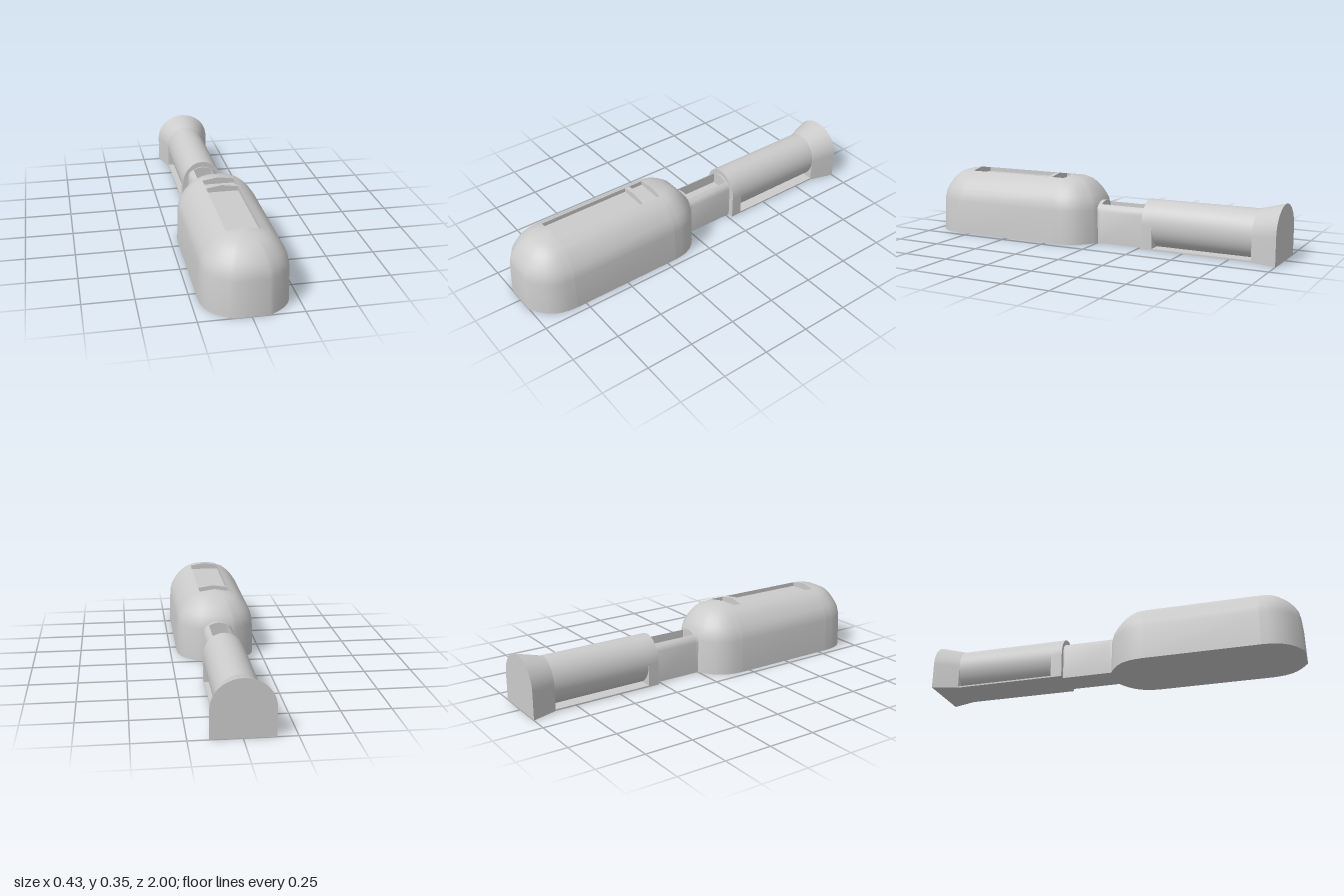
import * as THREE from 'three';
import { toCreasedNormals } from 'three/addons/utils/BufferGeometryUtils.js';

const material = new THREE.MeshStandardMaterial({ color: 0xcccccc, side: THREE.DoubleSide });

// Half outline of the hull from the ground up to the edge of the roof recess
const hull = [[0.215, 0], [0.21, 0.18], [0.2, 0.222], [0.183, 0.252], [0.163, 0.28], [0.142, 0.302], [0.12, 0.32], [0.082, 0.337]];
const ridgeTop = 0.35;
const recessFloor = 0.315;

// Quarter plan of the rounded hull end, from the side to the blunt nose
const endPlan = [[1, 0], [0.985, 0.04], [0.95, 0.075], [0.88, 0.11], [0.775, 0.14], [0.64, 0.165], [0.5, 0.185], [0.38, 0.2]];

// Closed section mirrored about x = 0
function section(half) {
  const left = half.map(([x, y]) => [-x, y]).reverse();
  return new THREE.Shape([...half, ...left].map(([x, y]) => new THREE.Vector2(x, y)));
}

// Upright walls with a rounded arch on top
function arch(halfWidth, spring, top, steps = 10) {
  const half = [[halfWidth, 0]];
  for (let i = 0; i < steps; i++) {
    const a = (i / steps) * Math.PI / 2;
    half.push([halfWidth * Math.cos(a), spring + (top - spring) * Math.sin(a)]);
  }
  half.push([0.0001, top]);
  return section(half);
}

function extrude(shape, z0, z1) {
  const g = new THREE.ExtrudeGeometry(shape, { depth: z1 - z0, bevelEnabled: false });
  return g.translate(0, 0, z0);
}

function createHullEnd() {
  const profile = [[0, 0], ...hull, [0, ridgeTop]].map(([x, y]) => new THREE.Vector2(x, y));
  const plan = [...endPlan.map(([x, z]) => [-x, z]), ...[...endPlan].reverse()];
  const g = new THREE.LatheGeometry(profile, plan.length - 1, -Math.PI / 2, Math.PI);
  // Swap the circular sweep for the blunt plan outline
  const p = g.attributes.position;
  for (let k = 0; k < p.count; k++) {
    const [sx, sz] = plan[Math.floor(k / profile.length)];
    const { x: r, y } = profile[k % profile.length];
    p.setXYZ(k, r * sx, y, r * sz / 0.213);
  }
  return g;
}

export function createModel() {
  const model = new THREE.Group();
  const add = (name, geometry, crease = 0.6) => {
    const mesh = new THREE.Mesh(toCreasedNormals(geometry, crease), material);
    mesh.name = name;
    model.add(mesh);
    return mesh;
  };

  // Main hull: straight middle with a sunken roof, and two domed ends
  add('hullMiddle', extrude(section([...hull, [0.082, recessFloor]]), 0.2, 0.8));
  add('hullFrontEnd', createHullEnd().translate(0, 0, 0.8));
  add('hullBackEnd', createHullEnd().rotateY(Math.PI).translate(0, 0, 0.2));

  // Roof ridge between the recesses, and the recess end walls
  const ridge = section([[0.082, recessFloor], [0.082, 0.337], [0.0001, ridgeTop]]);
  add('roofRidge', extrude(ridge, 0.28, 0.305));
  add('frontRecessWall', extrude(ridge, 0.799, 0.8));
  add('backRecessWall', extrude(ridge, 0.2, 0.201));

  // Connecting neck with an open slot along its top
  const neckSide = [[0.08, 0], [0.08, 0.17], [0.07, 0.193], [0.05, 0.207]];
  add('neck', extrude(section([...neckSide, [0.05, 0.15]]), -0.265, -0.01));
  for (const [name, z0, z1] of [['neckFrontArch', -0.01, 0.06], ['neckBackArch', -0.28, -0.262]]) {
    add(name, extrude(section([...neckSide, [0.025, 0.218], [0.0001, 0.222]]), z0, z1));
  }

  // Rear barrel with its collar and base plate
  add('collar', extrude(arch(0.11, 0.125, 0.25), -0.33, -0.27));
  const barrel = new THREE.CylinderGeometry(1, 1, 0.545, 40, 1, true)
    .rotateX(Math.PI / 2).scale(0.11, 0.125, 1).translate(0, 0.125, -0.5975);
  add('barrel', barrel);
  add('basePlate', new THREE.BoxGeometry(0.22, 0.008, 0.545).translate(0, 0.004, -0.5975));

  // Flared tail, widening toward the back
  const flare = extrude(arch(0.11, 0.125, 0.25), -1, -0.865);
  const p = flare.attributes.position;
  for (let i = 0; i < p.count; i++) {
    if (p.getZ(i) < -0.95) p.setXY(i, p.getX(i) * 0.152 / 0.11, p.getY(i) * 0.285 / 0.25);
  }
  add('flaredTail', flare);

  return model;
}
